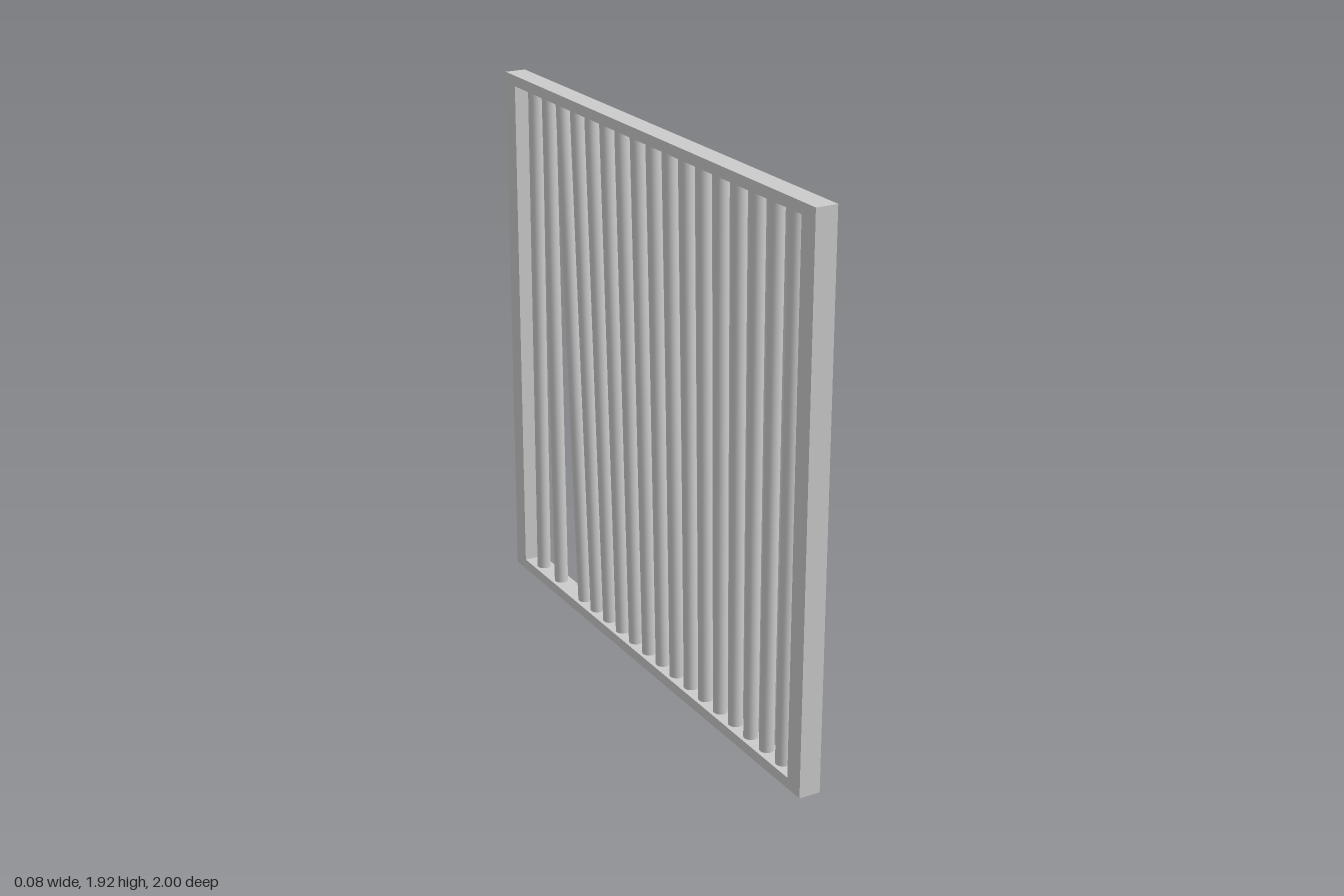
import * as THREE from 'three';

const HEIGHT = 1.924, DEPTH = 0.076, STILE = 0.072, RAIL = 0.038;
const BAR_RADIUS = 0.025, BAR_COUNT = 17;

export function createModel() {
  const model = new THREE.Group();
  const material = new THREE.MeshStandardMaterial({ color: 0xcccccc });

  // Rectangular frame with one opening, extruded across x
  const outline = new THREE.Shape([
    new THREE.Vector2(-1, 0), new THREE.Vector2(1, 0),
    new THREE.Vector2(1, HEIGHT), new THREE.Vector2(-1, HEIGHT),
  ]);
  const inner = 1 - STILE;
  outline.holes.push(new THREE.Path([
    new THREE.Vector2(-inner, RAIL), new THREE.Vector2(-inner, HEIGHT - RAIL),
    new THREE.Vector2(inner, HEIGHT - RAIL), new THREE.Vector2(inner, RAIL),
  ]));
  const frameGeometry = new THREE.ExtrudeGeometry(outline, { depth: DEPTH, bevelEnabled: false });
  frameGeometry.translate(0, 0, -DEPTH / 2).rotateY(Math.PI / 2);
  const frame = new THREE.Mesh(frameGeometry, material);
  frame.name = 'frame';
  model.add(frame);

  // Round bars: even spacing at the top, tighter at the bottom so they lean
  // progressively; the last two stand nearly upright
  const bars = new THREE.Group();
  bars.name = 'bars';
  const lastFeet = { 15: -0.703, 16: -0.847 };
  const up = new THREE.Vector3(0, 1, 0);
  for (let i = 0; i < BAR_COUNT; i++) {
    const footZ = lastFeet[i] ?? 0.842 - 0.0967 * i;
    const foot = new THREE.Vector3(0, RAIL - 0.005, footZ);
    const head = new THREE.Vector3(0, HEIGHT - RAIL + 0.005, 0.846 - 0.1056 * i);
    const axis = head.clone().sub(foot);
    const bar = new THREE.Mesh(
      new THREE.CylinderGeometry(BAR_RADIUS, BAR_RADIUS, axis.length(), 24), material);
    bar.position.copy(foot).add(head).multiplyScalar(0.5);
    bar.quaternion.setFromUnitVectors(up, axis.normalize());
    bar.name = `bar${i + 1}`;
    bars.add(bar);
  }
  model.add(bars);

  return model;
}
